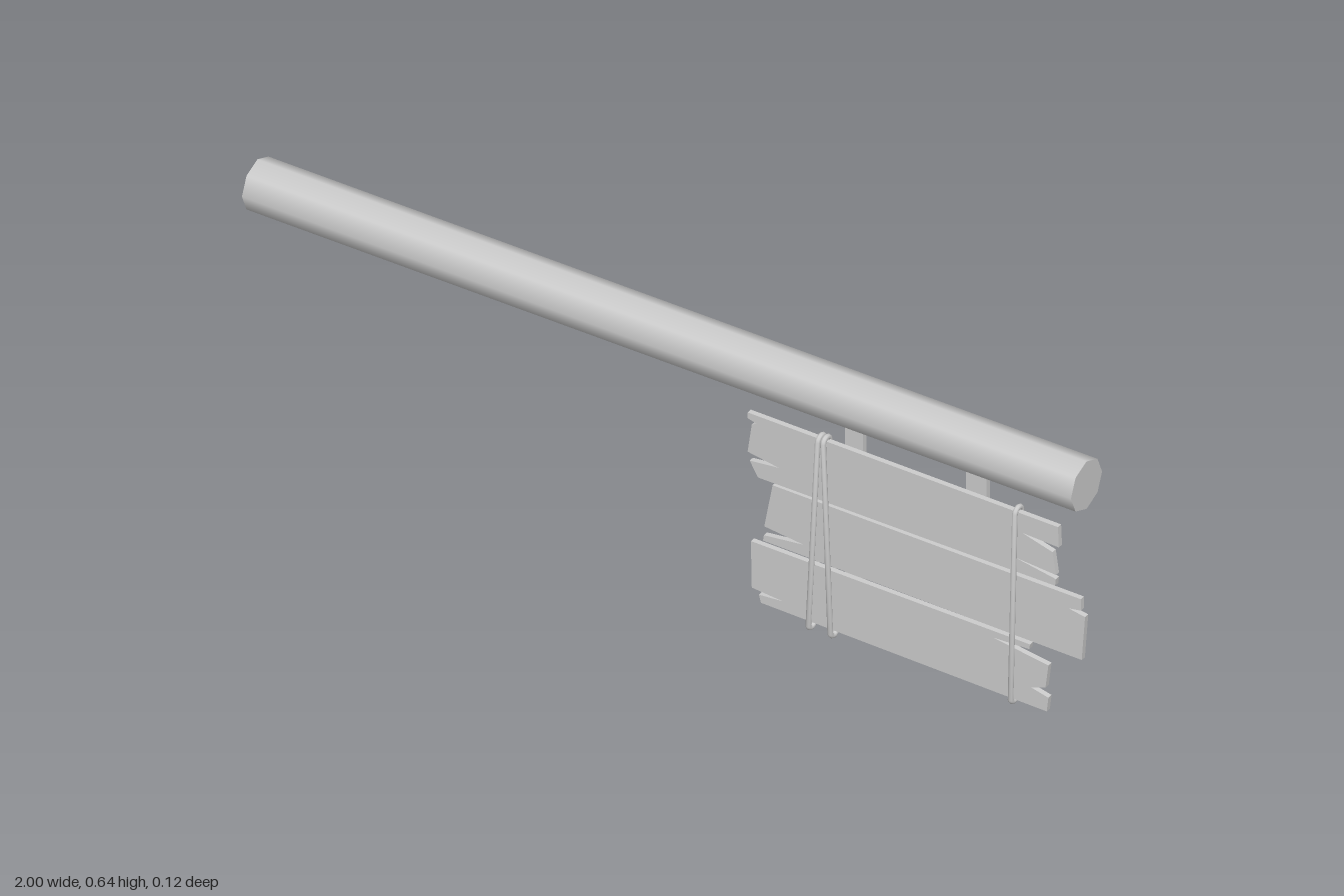
import * as THREE from 'three';

const material = new THREE.MeshStandardMaterial({ color: 0xcccccc });

function part(name, geometry, x = 0, y = 0, z = 0) {
  const mesh = new THREE.Mesh(geometry, material);
  mesh.name = name;
  mesh.position.set(x, y, z);
  return mesh;
}

// Board outlines [x, y], clockwise from the top left, with splintered ends
const boards = {
  topBoard: [
    [0.19, 0.478], [0.935, 0.474], [0.937, 0.425], [0.85, 0.428], [0.922, 0.408], [0.93, 0.355],
    [0.83, 0.362], [0.93, 0.345], [0.928, 0.328], [0.215, 0.328], [0.195, 0.362], [0.265, 0.37],
    [0.19, 0.382], [0.2, 0.452], [0.212, 0.458], [0.19, 0.464],
  ],
  middleBoard: [
    [0.25, 0.322], [0.99, 0.318], [0.99, 0.29], [0.96, 0.285], [1.0, 0.278], [0.992, 0.17],
    [0.227, 0.178], [0.229, 0.192], [0.325, 0.204], [0.23, 0.214],
  ],
  bottomBoard: [
    [0.198, 0.166], [0.868, 0.162], [0.866, 0.15], [0.78, 0.146], [0.912, 0.127], [0.905, 0.07],
    [0.87, 0.058], [0.912, 0.048], [0.908, 0.013], [0.222, 0.024], [0.217, 0.042], [0.275, 0.047],
    [0.2, 0.053],
  ],
};

function boardGeometry(points) {
  const shape = new THREE.Shape(points.map(([x, y]) => new THREE.Vector2(x, y)));
  return new THREE.ExtrudeGeometry(shape, { depth: 0.012, bevelEnabled: false });
}

// Long narrow rope loop: a ring pulled apart vertically, leaning from xBottom to xTop
function ropeGeometry(xTop, xBottom) {
  const segments = 16, halfHeight = 0.226;
  const geometry = new THREE.TorusGeometry(0.0125, 0.006, 8, segments);
  geometry.rotateZ(Math.PI / segments);
  geometry.rotateY(Math.PI / 2);
  const pos = geometry.attributes.position;
  for (let i = 0; i < pos.count; i++) {
    const y = pos.getY(i) + Math.sign(pos.getY(i)) * halfHeight;
    const lean = (y / 0.488 + 0.5) * (xTop - xBottom);
    pos.setXYZ(i, pos.getX(i) + xBottom + lean, y, pos.getZ(i));
  }
  geometry.computeBoundingSphere();
  return geometry;
}

export function createModel() {
  const model = new THREE.Group();
  model.name = 'hangingSign';

  // Horizontal eight-sided pole
  const pole = new THREE.CylinderGeometry(0.058, 0.058, 1.99, 8);
  pole.rotateZ(Math.PI / 2);
  model.add(part('pole', pole, -0.005, 0.585, 0));

  // Flat hangers behind the boards
  for (const [name, x, width] of [['rightHanger', 0.436, 0.043], ['leftHanger', 0.729, 0.05]]) {
    model.add(part(name, new THREE.BoxGeometry(width, 0.475, 0.012), x, 0.3225, 0));
  }

  // Three rough boards
  for (const [name, points] of Object.entries(boards)) {
    model.add(part(name, boardGeometry(points), 0, 0, 0.009));
  }

  // Rope loops around the boards
  const ropes = [['outerRope', 0.364, 0.34], ['innerRope', 0.376, 0.394], ['leftRope', 0.837, 0.826]];
  for (const [name, xTop, xBottom] of ropes) {
    model.add(part(name, ropeGeometry(xTop, xBottom), 0, 0.2455, 0.0165));
  }

  return model;
}
